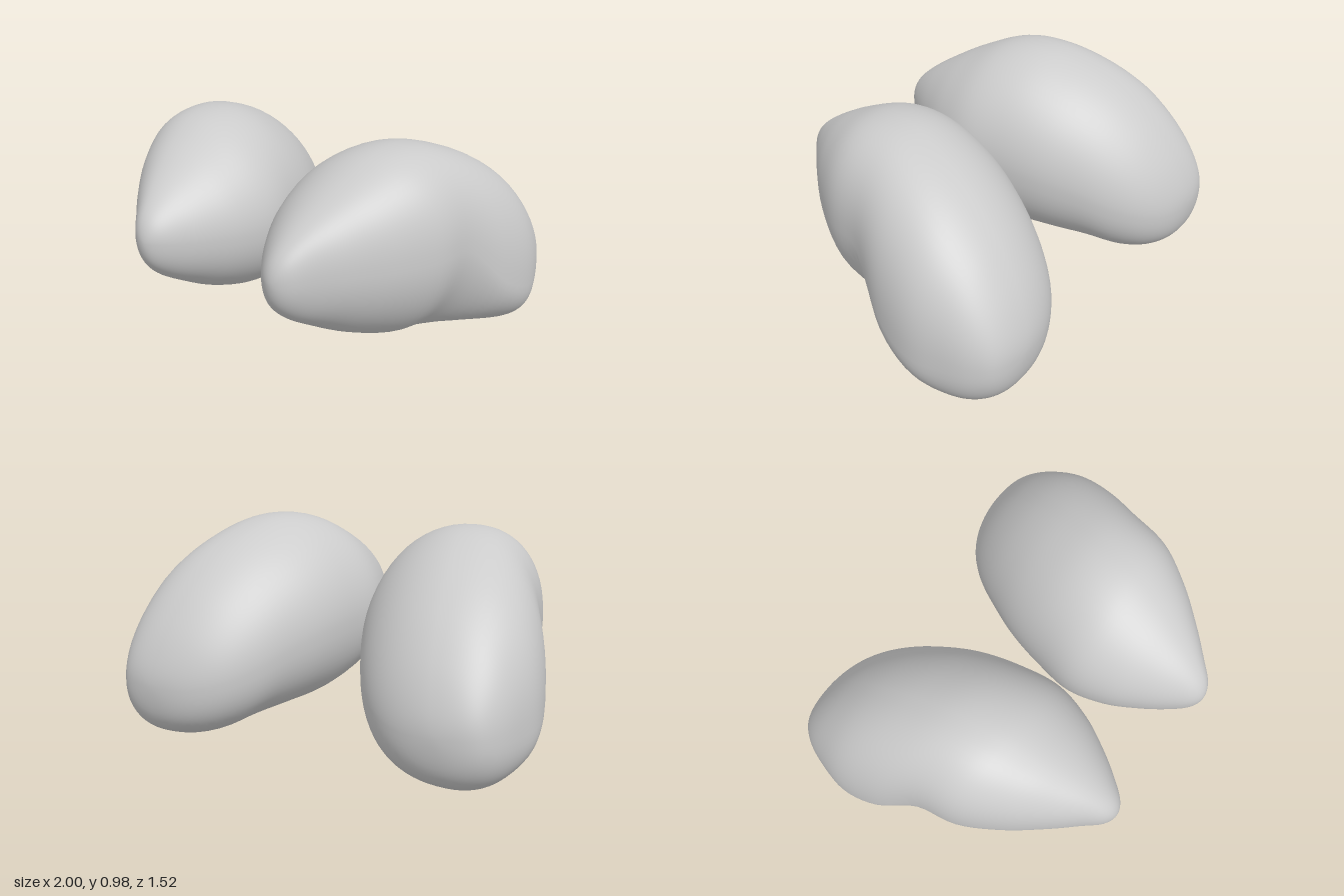
import * as THREE from 'three';
import { mergeVertices } from 'three/addons/utils/BufferGeometryUtils.js';

const HALF_LENGTH = 0.76;
const RINGS = 60, SIDES = 64;

// Cross-sections from back to front, at cosine-spaced z:
// inner x, outer x, bottom y, top y, then y of inner side, y of outer side,
// x of bottom, x of top, fullness of the lower outer corner
const SECTIONS = [
  [0.69, 0.69, 0.27, 0.27, 0.27, 0.27, 0.69, 0.69, 2.2],
  [0.52, 0.84, 0.12, 0.40, 0.27, 0.26, 0.69, 0.67, 2.2],
  [0.38, 0.92, 0.035, 0.55, 0.30, 0.25, 0.70, 0.64, 2.3],
  [0.27, 0.97, 0.00, 0.70, 0.35, 0.25, 0.70, 0.61, 2.4],
  [0.18, 1.00, 0.02, 0.83, 0.42, 0.26, 0.66, 0.58, 2.4],
  [0.10, 0.965, 0.05, 0.925, 0.47, 0.34, 0.54, 0.54, 2.2],
  [0.05, 0.87, 0.065, 0.98, 0.50, 0.54, 0.47, 0.50, 1.9],
  [0.022, 0.825, 0.115, 0.97, 0.51, 0.56, 0.44, 0.48, 2],
  [0.065, 0.72, 0.19, 0.895, 0.52, 0.56, 0.40, 0.45, 2],
  [0.145, 0.595, 0.28, 0.805, 0.53, 0.56, 0.37, 0.41, 2],
  [0.225, 0.485, 0.36, 0.72, 0.54, 0.56, 0.36, 0.38, 2],
  [0.29, 0.415, 0.445, 0.64, 0.55, 0.55, 0.35, 0.36, 2],
  [0.35, 0.35, 0.55, 0.55, 0.55, 0.55, 0.35, 0.35, 2],
];

// Smooth interpolation between the sections
function sectionAt(s) {
  const n = SECTIONS.length - 1;
  const i = Math.min(Math.floor(s * n), n - 1), t = s * n - i;
  return SECTIONS[0].map((_, k) => {
    const b = SECTIONS[i][k], c = SECTIONS[i + 1][k];
    const a = i > 0 ? SECTIONS[i - 1][k] : 2 * b - c;
    const d = i < n - 1 ? SECTIONS[i + 2][k] : 2 * c - b;
    return b + 0.5 * t * (c - a + t * (2 * a - 5 * b + 4 * c - d + t * (3 * (b - c) + d - a)));
  });
}

// Point on a ring made of four joined superellipse quarters
function ringPoint([xIn, xOut, yLow, yTop, yIn, yOut, xLow, xTop, lowOuter], angle) {
  const c = Math.cos(angle), s = Math.sin(angle);
  const [cx, ex] = [s >= 0 ? xTop : xLow, c >= 0 ? xOut : xIn];
  const [cy, ey] = [c >= 0 ? yOut : yIn, s >= 0 ? yTop : yLow];
  const power = s >= 0 ? (c >= 0 ? 2.3 : 1.93) : (c >= 0 ? lowOuter : 2.2);
  return [
    cx + (ex - cx) * Math.abs(c) ** (2 / power),
    cy + (ey - cy) * Math.abs(s) ** (2 / power),
  ];
}

// One bean-shaped lobe; side is 1 for left (+x), -1 for right
function lobeGeometry(side) {
  const positions = [], index = [];
  for (let i = 0; i <= RINGS; i++) {
    const s = i / RINGS, section = sectionAt(s);
    const z = -HALF_LENGTH * Math.cos(Math.PI * s);
    for (let j = 0; j < SIDES; j++) {
      const [x, y] = ringPoint(section, (j / SIDES) * Math.PI * 2);
      positions.push(side * x, y, z);
    }
  }
  const triangle = (a, b, c) => (side > 0 ? index.push(a, b, c) : index.push(a, c, b));
  for (let i = 0; i < RINGS; i++) {
    for (let j = 0; j < SIDES; j++) {
      const a = i * SIDES + j, b = i * SIDES + ((j + 1) % SIDES);
      if (i > 0) triangle(a, b, b + SIDES);
      if (i < RINGS - 1) triangle(a, b + SIDES, a + SIDES);
    }
  }
  const geometry = new THREE.BufferGeometry();
  geometry.setAttribute('position', new THREE.Float32BufferAttribute(positions, 3));
  geometry.setIndex(index);
  const merged = mergeVertices(geometry, 1e-5);
  merged.computeVertexNormals();
  return merged;
}

export function createModel() {
  const group = new THREE.Group();
  group.name = 'pairedLobes';
  const material = new THREE.MeshStandardMaterial({ color: 0xcccccc });
  for (const [name, side] of [['leftLobe', 1], ['rightLobe', -1]]) {
    const lobe = new THREE.Mesh(lobeGeometry(side), material);
    lobe.name = name;
    group.add(lobe);
  }
  return group;
}
